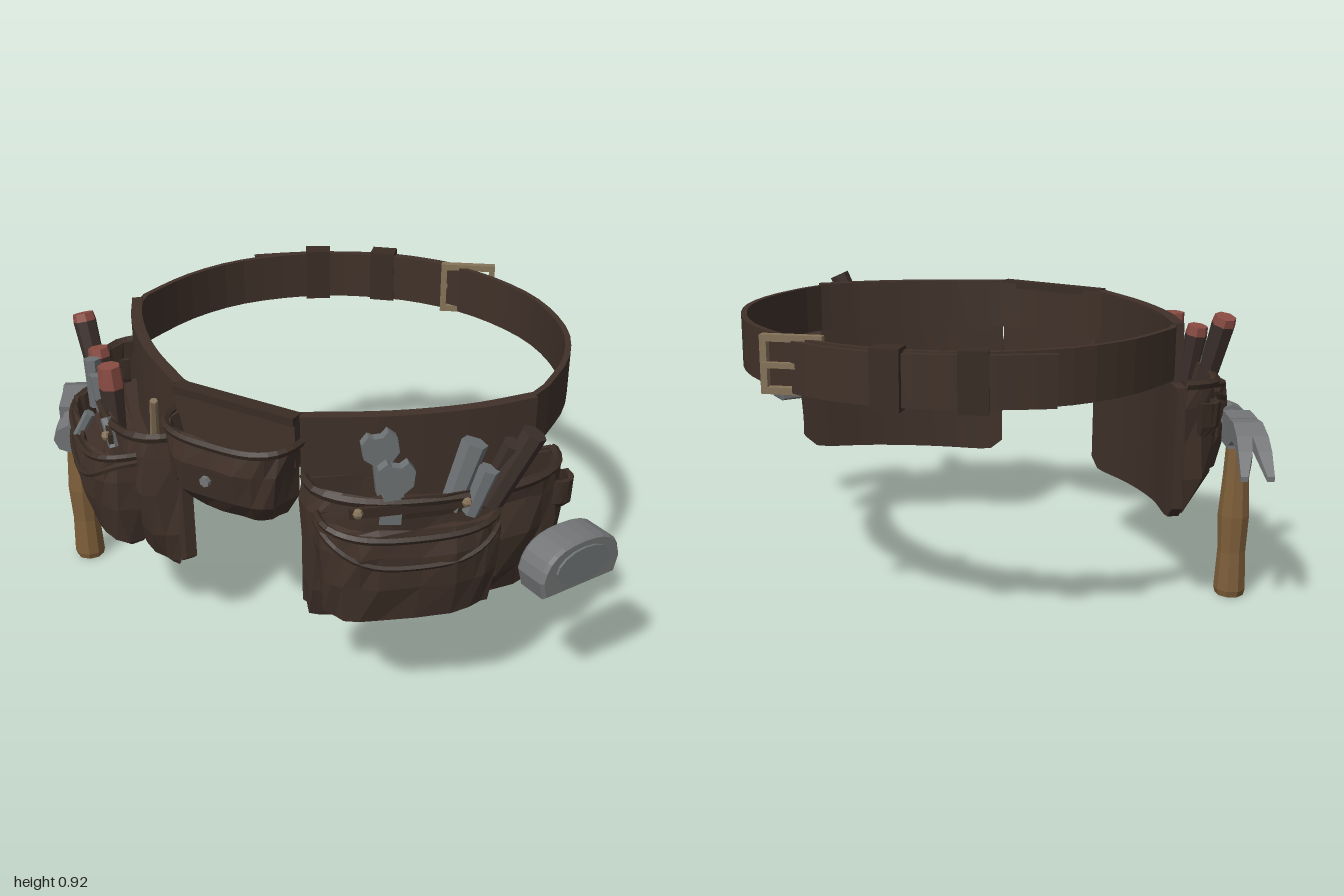
import * as THREE from 'three';

const mat = (name, color) => Object.assign(new THREE.MeshStandardMaterial({ color }), { name });
const V = (x, y, z) => new THREE.Vector3(x, y, z);

// small seeded noise for crumpled leather
let seed = 7;
const noise = (a) => {
  seed = (seed * 16807) % 2147483647;
  return (seed / 2147483647 - 0.5) * 2 * a;
};

export function createModel() {
  const leather = mat('brown leather', 0x403129);
  const trim = mat('dark leather', 0x392c24);
  const steel = mat('steel', 0x737576);
  const toolSteel = mat('tool steel', 0x6d7274);
  const wood = mat('wood', 0x7e5f3a);
  const red = mat('red grip', 0x8a4c43);
  const dark = mat('dark grip', 0x3d302c);
  const brass = mat('brass', 0x857359);

  const root = new THREE.Group();
  root.name = 'toolBelt';

  // faceted mesh
  function add(parent, name, geo, material, pos = [0, 0, 0], rotY = 0) {
    const g = geo.index ? geo.toNonIndexed() : geo;
    g.computeVertexNormals();
    const m = new THREE.Mesh(g, material);
    m.name = name;
    m.position.set(...pos);
    m.rotation.y = rotY;
    parent.add(m);
    return m;
  }
  function group(name, pos, rotY) {
    const g = new THREE.Group();
    g.name = name;
    g.position.set(...pos);
    g.rotation.y = rotY;
    root.add(g);
    return g;
  }
  // skin over closed rings, counterclockwise about the direction of travel
  function loft(rings, closed = false) {
    const p = [], n = rings[0].length, count = rings.length;
    const tri = (...v) => v.forEach((q) => p.push(q.x, q.y, q.z));
    for (let i = 0; i < (closed ? count : count - 1); i++) {
      const A = rings[i], B = rings[(i + 1) % count];
      for (let j = 0; j < n; j++) {
        const k = (j + 1) % n;
        tri(A[j], A[k], B[k]);
        tri(A[j], B[k], B[j]);
      }
    }
    if (!closed) {
      const mid = (r) => r.reduce((s, q) => s.add(q), V(0, 0, 0)).divideScalar(n);
      const A = rings[0], B = rings[count - 1], a = mid(A), b = mid(B);
      for (let j = 0; j < n; j++) {
        tri(a, A[(j + 1) % n], A[j]);
        tri(b, B[j], B[(j + 1) % n]);
      }
    }
    const g = new THREE.BufferGeometry();
    g.setAttribute('position', new THREE.Float32BufferAttribute(p, 3));
    return g;
  }
  // upright strap along plan points [x, z]
  function band(pts, lo, hi, thick, steps, closed = false) {
    const c = new THREE.CatmullRomCurve3(pts.map(([x, z]) => V(x, 0, z)), closed);
    const rings = [];
    for (let i = 0; i < steps + (closed ? 0 : 1); i++) {
      const t = i / steps, p = c.getPointAt(t);
      const n = V(0, 1, 0).cross(c.getTangentAt(t)).normalize().multiplyScalar(thick / 2);
      const y0 = typeof lo === 'function' ? lo(t) : lo;
      rings.push([[-1, y0], [1, y0], [1, hi], [-1, hi]].map(([s, y]) => V(p.x + n.x * s, y, p.z + n.z * s)));
    }
    return loft(rings, closed);
  }
  // D-shaped open bag; rings are [y, half width, depth, slant]
  function bag(profile, { u0 = 0, v0 = 0, bow = 0, rough = 0.01 } = {}) {
    const N = 12;
    return loft(profile.map(([y, w, d, slant = 0]) => {
      const r = [];
      const put = (u, v, a) => r.push(V(
        u0 + u + noise(a), y + slant * (u0 + u) + noise(a * 0.6),
        v0 + v + bow * (1 - ((u0 + u) / 0.36) ** 2) + noise(a)));
      for (let i = 0; i <= N; i++) {
        const a = Math.PI * (1 - i / N), c = Math.cos(a);
        put(w * Math.sign(c) * Math.abs(c) ** 0.65, d * Math.abs(Math.sin(a)) ** 0.65, rough);
      }
      for (let i = 1; i < 4; i++) put(w * (1 - i / 2), 0, 0);
      return r;
    }));
  }
  // rolled edge around the front of a bag, sagging in the middle
  function rim(y, w, d, u0, v0, bow, sag = 0, r = 0.011) {
    const pts = [];
    for (let i = 0; i <= 12; i++) {
      const a = Math.PI * (1 - i / 12), c = Math.cos(a), s = Math.sin(a);
      const u = u0 + w * Math.sign(c) * Math.abs(c) ** 0.65;
      pts.push(V(u, y - sag * s * s, v0 + d * Math.abs(s) ** 0.65 + bow * (1 - (u / 0.36) ** 2)));
    }
    return new THREE.TubeGeometry(new THREE.CatmullRomCurve3(pts), 24, r, 5);
  }
  // tapered rod between two points
  function rod(parent, name, m, a, b, r0, r1 = r0, sides = 7) {
    const A = V(...a), dir = V(...b).sub(A);
    const mesh = add(parent, name, new THREE.CylinderGeometry(r1, r0, dir.length(), sides), m);
    mesh.position.copy(A).addScaledVector(dir, 0.5);
    mesh.quaternion.setFromUnitVectors(V(0, 1, 0), dir.normalize());
  }
  // grip with a coloured end
  function screwdriver(a, b, r, share) {
    const c = a.map((v, i) => v + (b[i] - v) * share);
    rod(root, 'screwdriverGrip', dark, a, c, r * 0.8, r);
    rod(root, 'screwdriverCap', red, c, b, r, r * 0.9);
  }

  // belt, overlapping tail and keepers
  const front = [[0.69, 0.12], [0.57, 0.275], [0.4, 0.425], [0.2, 0.55]];
  const mirror = (pts) => pts.map(([x, z]) => [-x, z]).reverse();
  const back = [[-0.695, 0], [-0.675, -0.16], [-0.6, -0.34], [-0.42, -0.53], [-0.2, -0.635]];
  add(root, 'belt', band([...front, [0, 0.57], ...mirror(front), ...back, [0, -0.665], ...mirror(back)],
    0.74, 0.9, 0.018, 56, true), leather);
  add(root, 'beltTail', band([[-0.6, -0.41], [-0.5, -0.495], [-0.4, -0.565], [-0.2, -0.66], [0, -0.69], [0.1, -0.68]],
    0.745, 0.895, 0.02, 14), leather);
  for (const [x, z, a] of [[-0.21, -0.65, 0.33], [-0.42, -0.545, 0.55]])
    add(root, 'beltKeeper', new THREE.BoxGeometry(0.085, 0.175, 0.065), trim, [x, 0.822, z], a);

  // buckle
  const buckle = group('buckle', [0.11, 0.825, -0.675], 0.41);
  for (const s of [-1, 1]) {
    add(buckle, 'buckleBar', new THREE.BoxGeometry(0.18, 0.02, 0.026), brass, [0, s * 0.076, 0]);
    add(buckle, 'buckleSide', new THREE.BoxGeometry(0.02, 0.17, 0.026), brass, [s * 0.082, 0, 0]);
  }
  add(buckle, 'bucklePin', new THREE.BoxGeometry(0.17, 0.016, 0.018), brass, [0, 0, -0.016]);

  // the two big side pouches
  for (const s of [1, -1]) {
    const side = s > 0 ? 'left' : 'right';
    const low = (t) => {
      const k = s > 0 ? t : 1 - t;
      return 0.31 - 0.04 * k + 0.04 * Math.abs(2 * t - 1) ** 18;
    };
    const upper = [[0.698, 0.13], [0.58, 0.28], [0.41, 0.43], [0.2, 0.565]];
    const lower = [[0.745, 0.075], [0.69, 0.14], ...upper.slice(1)];
    add(root, side + 'TopPanel', band(s > 0 ? upper : mirror(upper), 0.725, 0.905, 0.034, 16), leather);
    add(root, side + 'BackPanel', band(s > 0 ? lower : mirror(lower), low, 0.725, 0.034, 18), leather);

    const pouch = group(side + 'Pouch', [s * 0.45, 0, 0.37], s * 0.735);
    const k = 0.07 * s, u0 = 0.05 * s;
    add(pouch, 'mainPocket', bag([
      [0.3, 0.345, 0.03, k], [0.315, 0.365, 0.065, k], [0.42, 0.38, 0.125, k * 0.7], [0.55, 0.38, 0.145, k * 0.3],
      [0.66, 0.372, 0.14], [0.73, 0.36, 0.145], [0.73, 0.345, 0.13], [0.6, 0.33, 0.11],
    ], { u0, bow: 0.03 }), leather);
    add(pouch, 'mainPocketRim', rim(0.73, 0.362, 0.145, u0, 0, 0.03, 0.015, 0.014), trim);
    const f0 = -0.05 * s;
    add(pouch, 'frontPocket', bag([
      [0.365, 0.21, 0.07, k * 0.4], [0.385, 0.235, 0.11, k * 0.4], [0.5, 0.25, 0.138], [0.6, 0.252, 0.142],
      [0.675, 0.248, 0.13], [0.675, 0.233, 0.115], [0.6, 0.22, 0.1],
    ], { u0: f0, v0: 0.11, bow: 0.02 }), leather);
    add(pouch, 'frontPocketRim', rim(0.678, 0.25, 0.132, f0, 0.11, 0.02, 0.025), trim);
    add(pouch, 'frontPocketFold', rim(0.655, 0.252, 0.14, f0, 0.11, 0.02, 0.085, 0.009), trim);
    add(pouch, 'frontStrap', new THREE.BoxGeometry(0.34, 0.03, 0.014), trim, [f0, 0.7, 0.175]);
    // tool loop at the outer end
    add(pouch, 'sideLoop', bag([
      [0.58, 0.035, 0.04], [0.61, 0.045, 0.07], [0.68, 0.045, 0.07], [0.68, 0.03, 0.055], [0.64, 0.03, 0.05],
    ], { u0: 0.405 * s, v0: 0.03, rough: 0.003 }), trim);
    for (const u of [-0.2, 0.1])
      add(pouch, 'rivet', new THREE.SphereGeometry(0.015, 6, 4), brass, [u * s, 0.705, 0.187]);
  }

  // middle pouch
  const mid = group('middlePouch', [0, 0, 0.565], 0);
  add(mid, 'middlePocket', bag([
    [0.57, 0.12, 0.05], [0.588, 0.155, 0.09], [0.65, 0.19, 0.135], [0.75, 0.2, 0.148],
    [0.825, 0.21, 0.14], [0.825, 0.195, 0.125], [0.7, 0.17, 0.1],
  ], { v0: 0.003, rough: 0.007 }), leather);
  add(mid, 'middleRim', rim(0.828, 0.21, 0.142, 0, 0, 0, 0.01, 0.012), trim);
  add(mid, 'middleBackPanel', new THREE.BoxGeometry(0.4, 0.15, 0.028), leather, [0, 0.828, 0.012]);
  add(mid, 'middleTopEdge', new THREE.BoxGeometry(0.4, 0.024, 0.045), trim, [0, 0.895, 0.012]);
  rod(mid, 'snapButton', steel, [-0.015, 0.71, 0.14], [-0.015, 0.71, 0.158], 0.016);

  // claw hammer
  const hammer = group('hammer', [-0.815, 0, 0.355], 0.61);
  const grip = [[0, 0], [0.046, 0], [0.051, 0.02], [0.045, 0.15], [0.05, 0.27], [0.041, 0.4], [0.035, 0.53], [0, 0.53]];
  add(hammer, 'hammerHandle', new THREE.LatheGeometry(grip.map((p) => new THREE.Vector2(...p)), 9), wood);
  add(hammer, 'hammerEye', new THREE.BoxGeometry(0.085, 0.1, 0.1), steel, [0, 0.548, 0]);
  rod(hammer, 'hammerNeck', steel, [0, 0.55, 0.04], [0, 0.55, 0.12], 0.04, 0.036, 8);
  rod(hammer, 'hammerFace', steel, [0, 0.55, 0.11], [0, 0.55, 0.185], 0.05, 0.048, 8);
  // two prongs, joined until the notch near the tip
  for (const s of [-1, 1]) {
    const path = [[-0.04, 0.55, 0, 0.042, 0.045], [-0.11, 0.57, 0, 0.045, 0.03], [-0.18, 0.555, 0, 0.048, 0.02],
      [-0.225, 0.525, 0.008, 0.05, 0.015], [-0.275, 0.47, 0.028, 0.05, 0.008]];
    add(hammer, 'hammerClaw', loft(path.map(([z, y, inner, outer, h]) => {
      const [x0, x1] = s > 0 ? [inner, outer] : [-outer, -inner];
      return [[x1, -h], [x0, -h], [x0, h], [x1, h]].map(([x, dy]) => V(x, y + dy, z));
    })), steel);
  }

  // tape measure
  const tape = group('tapeMeasure', [0.89, 0.445, 0.272], 1.11);
  const dShape = (w, h) => {
    const d = new THREE.Shape();
    d.moveTo(-w * 0.9, 0);
    d.lineTo(w * 0.9, 0);
    d.lineTo(w, h * 0.35);
    d.bezierCurveTo(w * 0.92, h * 0.82, w * 0.6, h, 0, h);
    d.bezierCurveTo(-w * 0.6, h, -w * 0.92, h * 0.82, -w, h * 0.35);
    return d;
  };
  add(tape, 'tapeCase', new THREE.ExtrudeGeometry(dShape(0.136, 0.14), {
    depth: 0.088, bevelSize: 0.008, bevelThickness: 0.01, bevelSegments: 1, curveSegments: 6,
  }), steel, [0, 0.008, -0.044]);
  const label = new THREE.CylinderGeometry(0.056, 0.056, 0.008, 16).rotateX(Math.PI / 2).scale(1.7, 1, 1);
  add(tape, 'tapeLabel', label, toolSteel, [0, 0.076, 0.057]);

  // screwdrivers in the right pouch
  screwdriver([-0.69, 0.66, 0.35], [-0.765, 0.905, 0.32], 0.037, 0.9);
  screwdriver([-0.6, 0.66, 0.42], [-0.635, 0.85, 0.41], 0.035, 0.85);
  screwdriver([-0.49, 0.66, 0.52], [-0.5, 0.865, 0.52], 0.038, 0.66);
  // small tools in the right pouch
  rod(root, 'pencil', brass, [-0.32, 0.68, 0.55], [-0.28, 0.835, 0.59], 0.014, 0.012, 6);
  rod(root, 'steelPunch', toolSteel, [-0.57, 0.68, 0.48], [-0.585, 0.8, 0.48], 0.026, 0.028, 6);
  rod(root, 'steelPunch', toolSteel, [-0.61, 0.68, 0.47], [-0.62, 0.835, 0.46], 0.022, 0.026, 6);
  for (const s of [-1, 1])
    rod(root, 'pliersJaw', toolSteel, [-0.5 + s * 0.07, 0.65, 0.61], [-0.5 + s * 0.03, 0.73, 0.59], 0.015, 0.017, 6);

  // wrenches in the left pouch
  const wrench = new THREE.Shape([[-0.03, -0.14], [0.03, -0.14], [0.026, -0.045], [0.05, -0.02], [0.05, 0.025],
    [0.028, 0.05], [0.01, 0.034], [-0.014, 0.036], [-0.028, 0.046], [-0.05, 0.025], [-0.05, -0.02], [-0.026, -0.045]]
    .map((p) => new THREE.Vector2(...p)));
  for (const [x, y, z, tilt] of [[0.395, 0.825, 0.475, 0.15], [0.478, 0.79, 0.54, -0.1]]) {
    const w = add(root, 'wrench', new THREE.ExtrudeGeometry(wrench, { depth: 0.03, bevelEnabled: false }), toolSteel, [x, y, z], 0.7);
    w.rotation.z = tilt;
  }
  // chisels and pliers handles in the left pouch
  rod(root, 'chisel', toolSteel, [0.59, 0.66, 0.42], [0.635, 0.855, 0.38], 0.032, 0.038, 6);
  rod(root, 'chisel', toolSteel, [0.65, 0.66, 0.42], [0.69, 0.8, 0.4], 0.024, 0.03, 6);
  rod(root, 'pliersHandle', dark, [0.69, 0.68, 0.38], [0.785, 0.905, 0.34], 0.033, 0.036);
  rod(root, 'pliersHandle', dark, [0.66, 0.68, 0.36], [0.735, 0.87, 0.36], 0.026, 0.028);

  return root;
}
